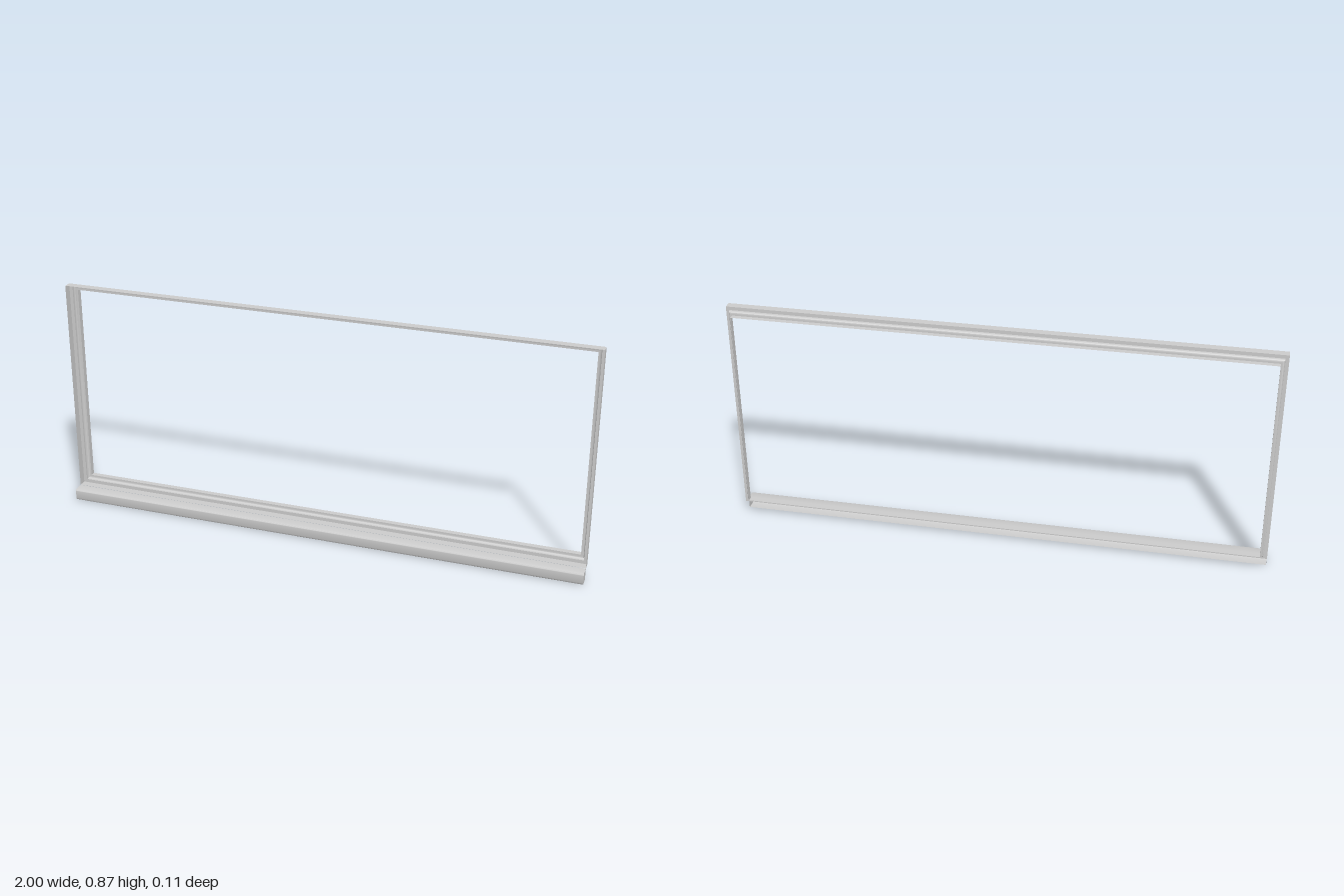
import * as THREE from 'three';
import { toCreasedNormals } from 'three/addons/utils/BufferGeometryUtils.js';

const material = new THREE.MeshStandardMaterial({ color: 0xcccccc, side: THREE.DoubleSide });

// Thin skin joining successive rows of points; closed rows wrap around.
function skin(rows, closed) {
  const positions = [];
  const n = rows[0].length;
  for (let i = 0; i < rows.length - 1; i++) {
    for (let j = 0; j < (closed ? n : n - 1); j++) {
      const k = (j + 1) % n;
      const a = rows[i][j], b = rows[i][k], c = rows[i + 1][j], d = rows[i + 1][k];
      positions.push(...a, ...c, ...b, ...b, ...c, ...d);
    }
  }
  const geometry = new THREE.BufferGeometry();
  geometry.setAttribute('position', new THREE.Float32BufferAttribute(positions, 3));
  return toCreasedNormals(geometry, 0.6);
}

// Quarter-round arc as [u, v] points.
function arc(cu, cv, ru, rv, from, to, steps = 6) {
  return Array.from({ length: steps + 1 }, (_, i) => {
    const t = from + (to - from) * i / steps;
    return [cu + ru * Math.cos(t), cv + rv * Math.sin(t)];
  });
}

function addMesh(parent, name, geometry) {
  const mesh = new THREE.Mesh(geometry, material);
  mesh.name = name;
  parent.add(mesh);
}

export function createModel() {
  const model = new THREE.Group();
  model.name = 'windowFrame';
  const H = Math.PI / 2;

  // Stepped moulding profile: [inset from the outer edge, z]
  const moulding = [
    [0, 0.012], [0, -0.018], [0.013, -0.018],
    ...arc(0.021, -0.024, 0.008, 0.008, Math.PI, 3 * H),
    [0.027, -0.032], [0.027, -0.052],
  ];
  const bottom = 0.047, top = 0.874;
  const frameRows = moulding.map(([d, z]) => [
    [-1 + d, bottom + d, z], [1 - d, bottom + d, z],
    [1 - d, top - d, z], [-1 + d, top - d, z],
  ]);
  addMesh(model, 'frameMoulding', skin(frameRows, true));

  // Sill: a channel open at the back with rounded front corners, [z, y]
  const r = 0.008, front = 0.053, back = 0.012, height = 0.046;
  const sill = [
    [back, height],
    ...arc(front - r, height - r, r, r, H, 0),
    ...arc(front - r, r, r, r, 0, -H),
    [back, 0],
  ];
  const sillGroup = new THREE.Group();
  sillGroup.name = 'sill';
  model.add(sillGroup);
  addMesh(sillGroup, 'sillChannel', skin(sill.map(([z, y]) => [[-1, y, z], [1, y, z]]), false));

  // End caps of the sill
  for (const side of [-1, 1]) {
    const shape = new THREE.Shape(sill.map(([z, y]) => new THREE.Vector2(-side * z, y)));
    const cap = new THREE.ShapeGeometry(shape).rotateY(side * H).translate(side, 0, 0);
    addMesh(sillGroup, side > 0 ? 'leftSillCap' : 'rightSillCap', cap);
  }
  return model;
}
